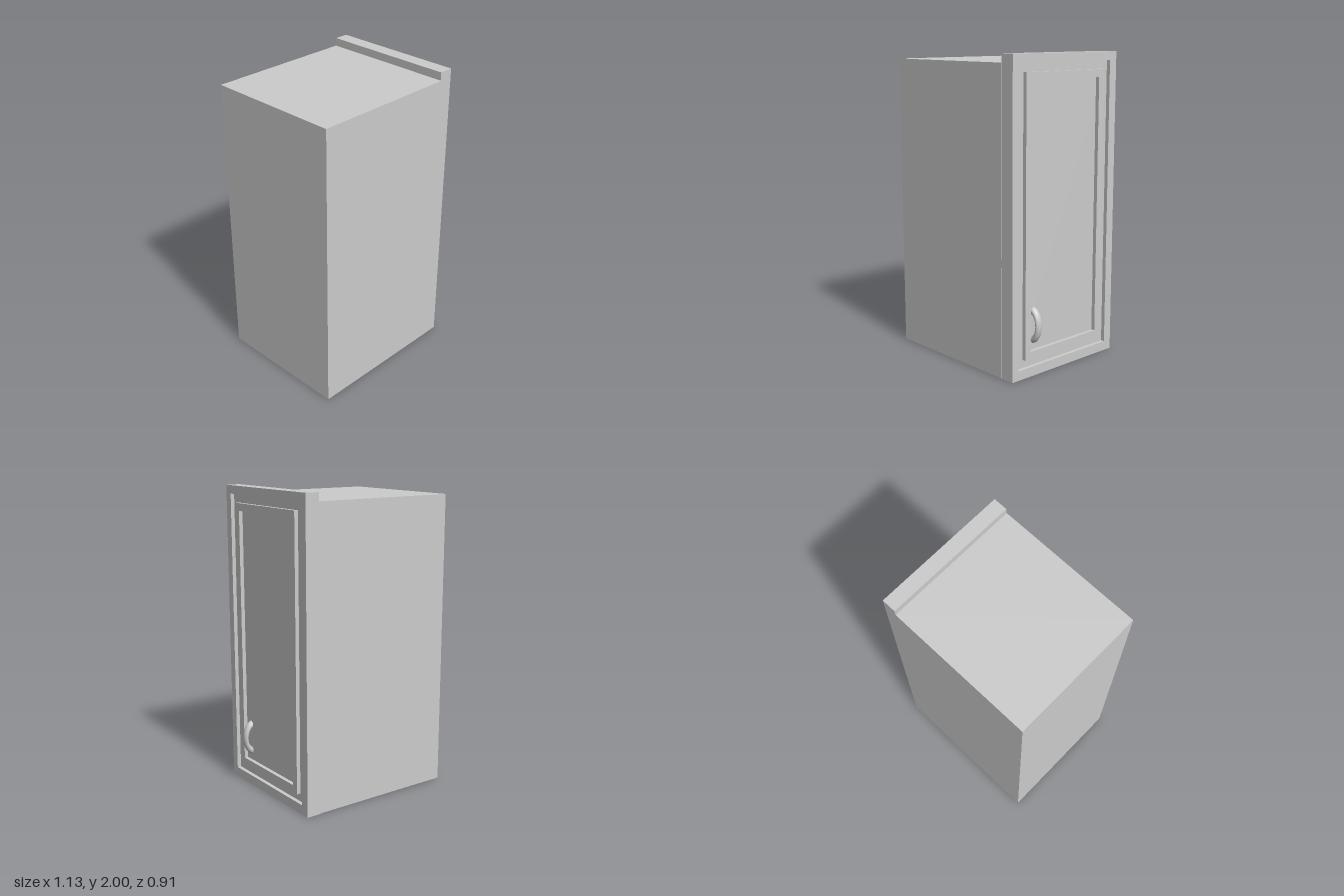
import * as THREE from 'three';

const material = new THREE.MeshStandardMaterial({ color: 0xcccccc });

// Solid box given by its minimum and maximum corners
function box(name, [x0, y0, z0], [x1, y1, z1]) {
  const mesh = new THREE.Mesh(new THREE.BoxGeometry(x1 - x0, y1 - y0, z1 - z0), material);
  mesh.name = name;
  mesh.position.set((x0 + x1) / 2, (y0 + y1) / 2, (z0 + z1) / 2);
  return mesh;
}

// Rectangle path with z limits a..b and y limits c..d (drawn in -z, y)
function rectangle(Type, { z0, z1, y0, y1 }) {
  const path = new Type();
  path.moveTo(-z1, y0);
  path.lineTo(-z0, y0);
  path.lineTo(-z0, y1);
  path.lineTo(-z1, y1);
  path.closePath();
  return path;
}

// Rectangular ring extruded along x
function ring(name, outer, inner, x0, x1) {
  const shape = rectangle(THREE.Shape, outer);
  shape.holes.push(rectangle(THREE.Path, inner));
  const geometry = new THREE.ExtrudeGeometry(shape, { depth: x1 - x0, bevelEnabled: false });
  geometry.rotateY(Math.PI / 2);
  const mesh = new THREE.Mesh(geometry, material);
  mesh.name = name;
  mesh.position.x = x0;
  return mesh;
}

export function createModel() {
  const model = new THREE.Group();
  model.name = 'wallCabinet';

  // Carcass
  model.add(box('cabinetBody', [-0.565, 0.003, -0.458], [0.43, 1.947, 0.455]));

  // Door: frame, groove, raised moulding and sunken panel
  const door = new THREE.Group();
  door.name = 'door';
  const edge = { z0: -0.458, z1: 0.451, y0: 0, y1: 2 };
  const frameInner = { z0: -0.398, z1: 0.398, y0: 0.062, y1: 1.946 };
  const mouldingOuter = { z0: -0.341, z1: 0.341, y0: 0.115, y1: 1.891 };
  const mouldingInner = { z0: -0.297, z1: 0.297, y0: 0.163, y1: 1.842 };
  const front = 0.526, sunken = 0.5, back = 0.43;
  door.add(ring('doorFrame', edge, frameInner, back, front));
  door.add(box('doorPanel', [back, frameInner.y0, frameInner.z0], [sunken, frameInner.y1, frameInner.z1]));
  door.add(ring('panelMoulding', mouldingOuter, mouldingInner, sunken, front));

  // Bow handle: half torus flattened towards the door
  const handle = new THREE.Mesh(
    new THREE.TorusGeometry(0.095, 0.025, 16, 32, Math.PI).rotateZ(-Math.PI / 2),
    material
  );
  handle.name = 'handle';
  handle.scale.x = 0.65;
  handle.position.set(0.483, 0.32, 0.246);
  door.add(handle);

  model.add(door);
  return model;
}
